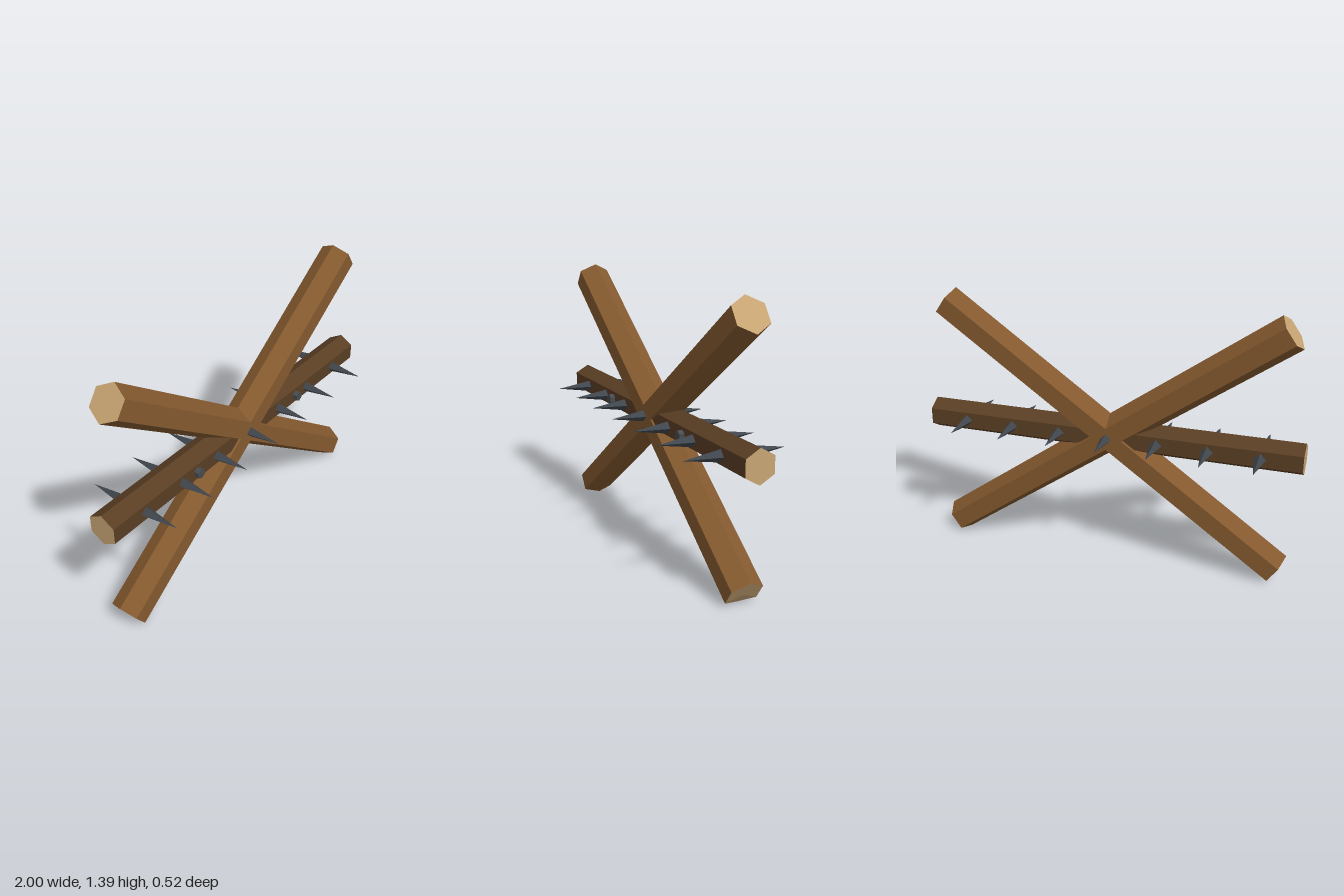
import * as THREE from 'three';

const CENTER_Y = 0.686;

const material = (name, color) => {
  const m = new THREE.MeshStandardMaterial({ color, flatShading: true });
  m.name = name;
  return m;
};

export function createModel() {
  const group = new THREE.Group();
  const lightWood = material('lightWood', 0x84592f);
  const darkWood = material('darkWood', 0x5a3e24);
  const cutWood = material('cutWood', 0xc8a574);
  const iron = material('iron', 0x40464d);
  const boltIron = material('boltIron', 0x484b4e);

  const add = (name, geometry, mat) => {
    const mesh = new THREE.Mesh(geometry, mat);
    mesh.name = name;
    group.add(mesh);
  };

  // Six-sided beam with pale cut ends; corners below the ground are pressed flat
  const beam = (name, radius, length, angle, wood) => {
    const g = new THREE.CylinderGeometry(radius, radius, length, 6, 1);
    g.rotateY(Math.PI / 2).rotateZ(angle - Math.PI / 2).translate(0, CENTER_Y, 0);
    const p = g.attributes.position;
    for (let i = 0; i < p.count; i++) p.setY(i, Math.max(0, p.getY(i)));
    const flat = g.toNonIndexed();
    flat.computeVertexNormals();
    add(name, flat, [wood, cutWood, cutWood]);
  };

  // Crossed diagonals and the horizontal bar through their middle
  const tilt = Math.atan2(0.63, 0.895);
  beam('diagonalRising', 0.0945, 2.19, tilt, lightWood);
  beam('diagonalFalling', 0.0945, 2.19, -tilt, lightWood);
  beam('crossbar', 0.084, 2, 0, darkWood);

  // Four-sided spikes along the bar, front and back
  for (let i = -3; i <= 3; i++) {
    for (const side of [1, -1]) {
      const g = new THREE.ConeGeometry(0.032, 0.193, 4);
      g.rotateX(side * Math.PI / 2).translate(i * 0.263, CENTER_Y, side * 0.1615);
      add(side > 0 ? 'frontSpike' : 'backSpike', g, iron);
    }
  }

  // Bolt heads on the front of the bar
  for (const x of [-0.42, 0.42]) {
    const g = new THREE.CylinderGeometry(0.027, 0.027, 0.04, 6);
    g.rotateX(Math.PI / 2).translate(x, CENTER_Y, 0.08);
    add('bolt', g, boltIron);
  }

  return group;
}
